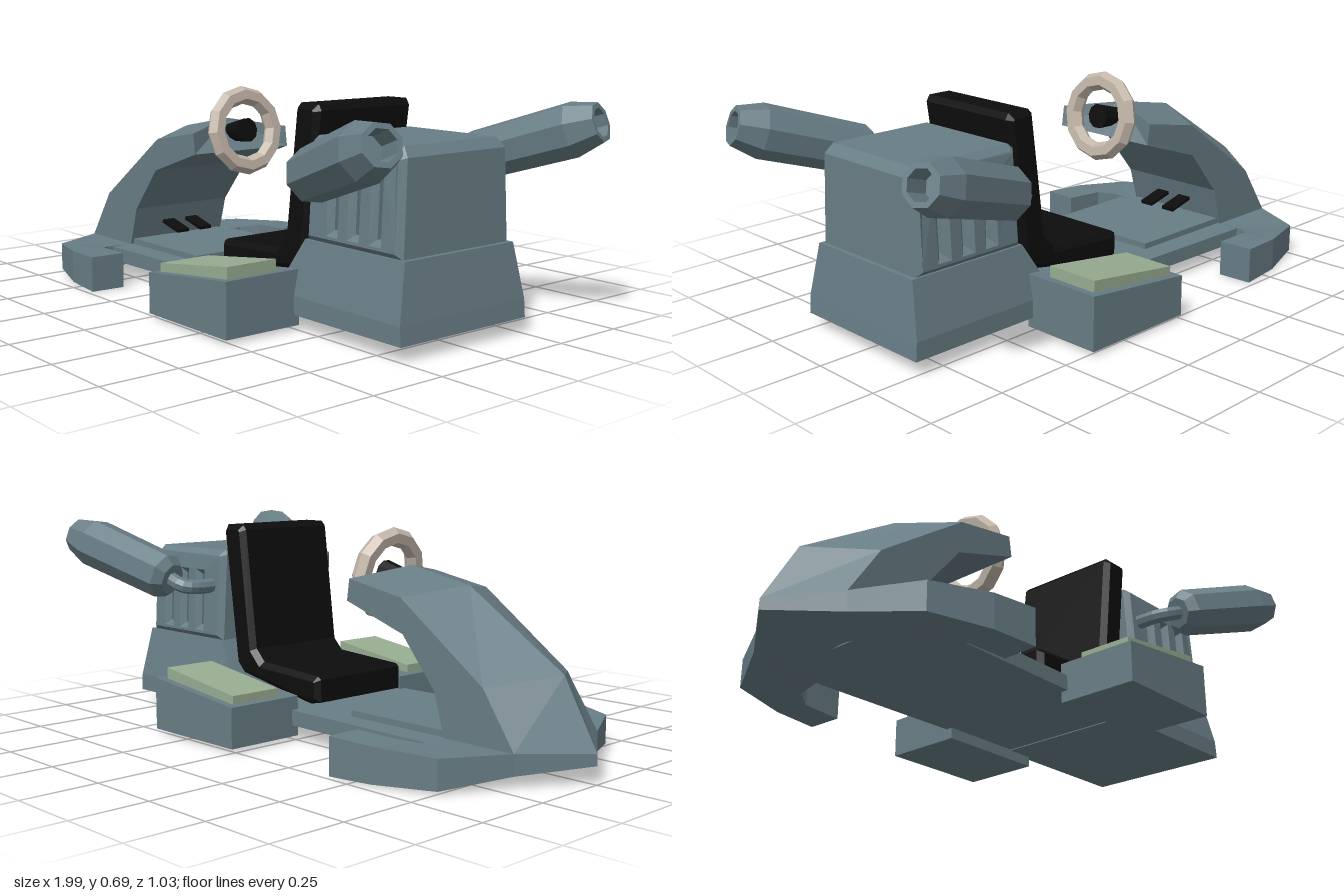
import * as THREE from 'three';

const flat = (name, color) => {
  const m = new THREE.MeshStandardMaterial({ color, flatShading: true });
  m.name = name;
  return m;
};

// Closed solid through rings of [x, y, z] points, always wound outwards
function loft(rings) {
  const n = rings[0].length, pts = rings.flat(), idx = [];
  for (let i = 0; i < rings.length - 1; i++)
    for (let j = 0; j < n; j++) {
      const a = i * n + j, b = i * n + (j + 1) % n;
      idx.push(a, b, b + n, a, b + n, a + n);
    }
  const last = (rings.length - 1) * n;
  for (let j = 1; j < n - 1; j++) {
    idx.push(0, j + 1, j);
    idx.push(last, last + j, last + j + 1);
  }
  // Signed volume tells whether the faces need flipping
  let volume = 0;
  const v = (i) => new THREE.Vector3(...pts[i]);
  for (let i = 0; i < idx.length; i += 3)
    volume += v(idx[i]).dot(v(idx[i + 1]).cross(v(idx[i + 2])));
  if (volume < 0) idx.reverse();
  const g = new THREE.BufferGeometry();
  g.setAttribute('position', new THREE.Float32BufferAttribute(pts.flat(), 3));
  g.setIndex(idx);
  const out = g.toNonIndexed();
  out.computeVertexNormals();
  return out;
}

// Rectangular ring in the horizontal plane
const rect = (x0, x1, z0, z1, yFront, yBack = yFront) =>
  [[x0, yFront, z0], [x1, yBack, z0], [x1, yBack, z1], [x0, yFront, z1]];

// Side profile extruded across the kart with chamfered edges
function profile(points, halfWidth, bevel, holes = []) {
  const shape = new THREE.Shape(points.map((p) => new THREE.Vector2(...p)));
  for (const h of holes) shape.holes.push(new THREE.Path(h.map((p) => new THREE.Vector2(...p))));
  const depth = 2 * (halfWidth - bevel);
  const g = new THREE.ExtrudeGeometry(shape, {
    depth, bevelEnabled: true, bevelSize: bevel, bevelThickness: bevel,
    bevelOffset: -bevel, bevelSegments: 1,
  });
  return g.translate(0, 0, -depth / 2);
}

export function createModel() {
  const kart = new THREE.Group();
  kart.name = 'kart';
  const body = flat('slate body', 0x687d85);
  const black = flat('black upholstery', 0x0d0d0d);
  const green = flat('sage pad', 0x98ad92);
  const beige = flat('beige rim', 0xc2b6a9);

  const add = (name, geometry, material, parent = kart) => {
    const m = new THREE.Mesh(geometry, material);
    m.name = name;
    parent.add(m);
    return m;
  };

  // Floor and foot plate
  const floorRing = (y) => [[-0.7, y, -0.28], [0.42, y, -0.255], [0.42, y, 0.255], [-0.7, y, 0.28]];
  add('floor', loft([floorRing(0.05), floorRing(0.1)]), body);
  add('footPlate', loft([rect(-0.62, -0.2, -0.19, 0.19, 0.09), rect(-0.62, -0.2, -0.19, 0.19, 0.12)]), body);

  // Swept front bumper: z outer, x outer, z inner, x inner, bottom, top
  const half = [
    [0, -1, 0, -0.6, 0.055, 0.09],
    [0.2, -0.86, 0.2, -0.6, 0.035, 0.1],
    [0.4, -0.755, 0.3, -0.6, 0.01, 0.103],
    [0.465, -0.56, 0.35, -0.54, 0.004, 0.115],
    [0.48, -0.405, 0.36, -0.4, 0, 0.12],
  ];
  const bumperRing = (s) => ([zo, xo, zi, xi, b, t]) =>
    [[xo, b, s * zo], [xo, t, s * zo], [xi, t, s * zi], [xi, b, s * zi]];
  add('frontBumper', loft([
    ...half.slice(1).reverse().map(bumperRing(-1)), ...half.map(bumperRing(1)),
  ]), body);

  // Ridged nose arching back towards the wheel: ridge, side edge, inner edge
  const nose = [
    [[-1, 0.09], [-0.86, 0.1], [-0.6, 0.1]],
    [[-0.88, 0.3], [-0.745, 0.27], [-0.56, 0.235]],
    [[-0.52, 0.53], [-0.42, 0.5], [-0.43, 0.39]],
    [[-0.28, 0.575], [-0.2, 0.54], [-0.19, 0.47]],
  ];
  add('nose', loft(nose.map(([r, e, i]) =>
    [[...r, 0], [...e, 0.2], [...i, 0.2], [...i, -0.2], [...e, -0.2]])), body);

  // Pedals
  for (const s of [-1, 1]) {
    const pedal = add('pedal', new THREE.BoxGeometry(0.1, 0.012, 0.05), black);
    pedal.position.set(-0.53, 0.162, s * 0.05);
    pedal.rotation.z = -0.25;
  }

  // Steering wheel
  const steering = new THREE.Group();
  steering.name = 'steeringWheel';
  steering.position.set(-0.175, 0.54, 0);
  steering.rotation.z = 0.155;
  kart.add(steering);
  const rim = new THREE.TorusGeometry(0.122, 0.031, 6, 12);
  add('rim', rim.rotateY(Math.PI / 2), beige, steering);
  const hub = new THREE.CylinderGeometry(0.042, 0.03, 0.1, 10);
  add('hub', hub.rotateZ(-Math.PI / 2).translate(-0.035, 0, 0), black, steering);

  // Seat
  add('seat', profile([
    [-0.05, 0.12], [-0.05, 0.195], [-0.035, 0.205], [0.235, 0.22], [0.275, 0.26],
    [0.325, 0.665], [0.34, 0.68], [0.42, 0.68], [0.432, 0.66], [0.37, 0.2], [0.34, 0.17], [0, 0.11],
  ], 0.2, 0.018), black);

  // Rear base
  add('rearBase', loft([
    rect(0.3, 0.855, -0.26, 0.26, 0.047),
    rect(0.31, 0.85, -0.26, 0.26, 0.105),
    rect(0.41, 0.83, -0.225, 0.225, 0.278),
  ]), body);

  // Engine cover with vents running right through, narrowing upwards
  const slots = [0.535, 0.625, 0.715].map((x) =>
    [[x - 0.007, 0.32], [x - 0.007, 0.5], [x + 0.007, 0.5], [x + 0.007, 0.32]]);
  const cover = profile([
    [0.415, 0.275], [0.815, 0.275], [0.81, 0.56], [0.785, 0.59], [0.43, 0.59], [0.415, 0.575],
  ], 0.232, 0.018, slots);
  const p = cover.attributes.position;
  for (let i = 0; i < p.count; i++) {
    const y = p.getY(i);
    p.setZ(i, p.getZ(i) * (1 - 0.2 * (y - 0.275) - Math.max(0, y - 0.555) * 1.6));
  }
  cover.computeVertexNormals();
  add('engineCover', cover, body);

  for (const s of [-1, 1]) {
    const side = s > 0 ? 'left' : 'right';

    // Side pod with sloped top and pad
    add(side + 'SidePod', loft([
      rect(0, 0.4, s * 0.24, s * 0.515, 0.013),
      rect(0, 0.4, s * 0.24, s * 0.515, 0.145, 0.187),
    ]), body);
    add(side + 'PodPad', loft([
      rect(0.025, 0.37, s * 0.305, s * 0.488, 0.14, 0.178),
      rect(0.025, 0.37, s * 0.305, s * 0.488, 0.175, 0.221),
    ]), green);

    // Octagonal exhaust, hollow at the rear
    const start = new THREE.Vector3(0.545, 0.49, s * 0.335);
    const end = new THREE.Vector3(0.968, 0.63, s * 0.447);
    const muffler = new THREE.LatheGeometry([
      [0, 0], [0.055, 0], [0.082, 0.03], [0.087, 0.37], [0.062, 0.455],
      [0.046, 0.455], [0.046, 0.37], [0, 0.37],
    ].map((q) => new THREE.Vector2(...q)), 8);
    const exhaust = add(side + 'Exhaust', muffler, body);
    exhaust.position.copy(start);
    exhaust.quaternion.setFromUnitVectors(new THREE.Vector3(0, 1, 0), end.sub(start).normalize());

    // Bent pipe from engine to exhaust
    const bend = new THREE.CatmullRomCurve3([
      [0.475, 0.465, 0.2], [0.475, 0.465, 0.29], [0.495, 0.47, 0.325], [0.57, 0.5, 0.34],
    ].map(([x, y, z]) => new THREE.Vector3(x, y, s * z)));
    add(side + 'ExhaustPipe', new THREE.TubeGeometry(bend, 10, 0.025, 8), body);
  }

  return kart;
}
